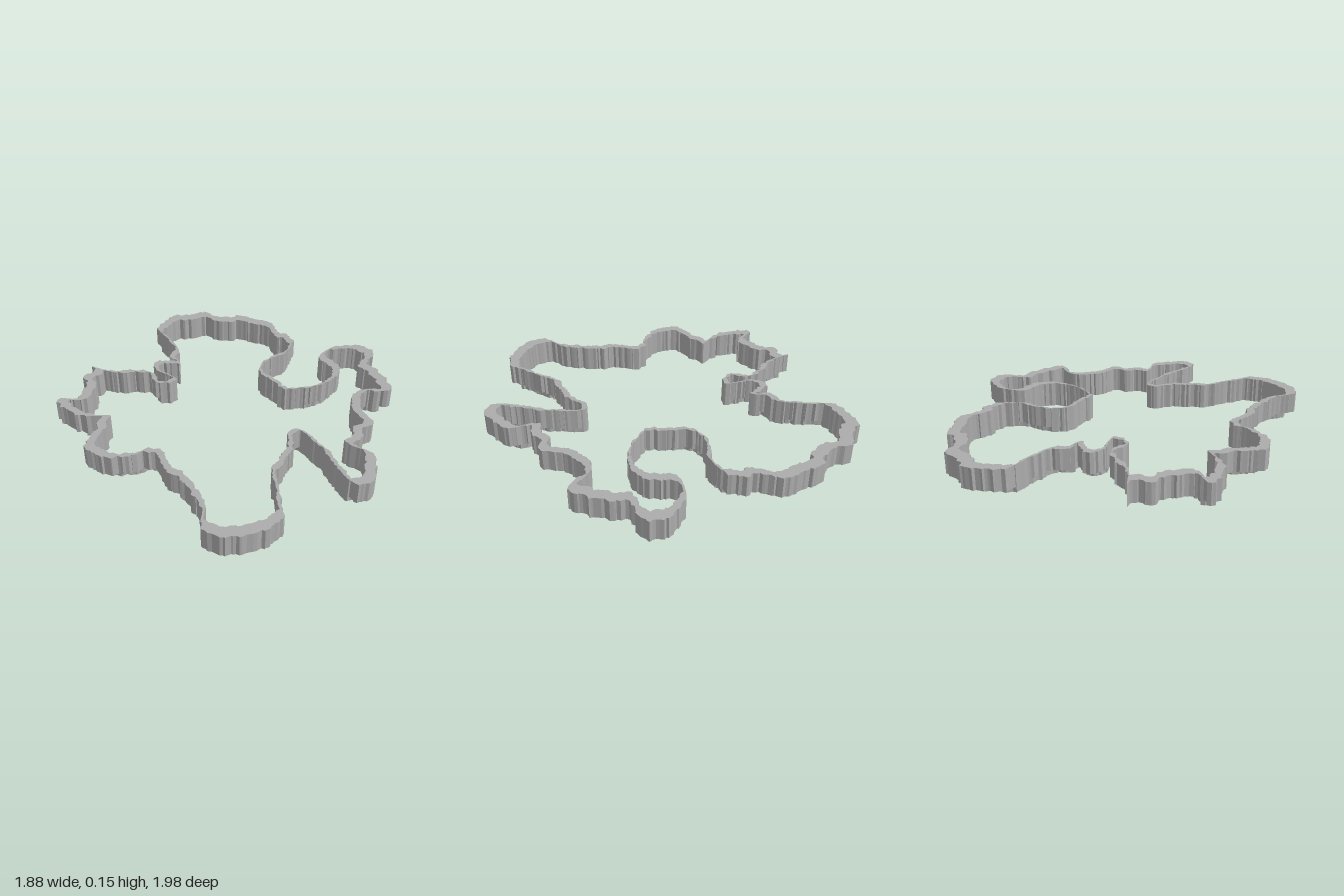
import * as THREE from 'three';

// Coastline control points as x, z pairs in hundredths of a unit
const COAST = [
  -80, -59, -78, -81, -72, -84, -63, -93, -55, -92, -41, -95, -38, -99, -28, -98,
  -15, -98, -6, -88, 3, -87, 8, -81, 8, -67, 1, -56, 3, -40, 15, -35,
  23, -29, 37, -36, 45, -47, 45, -64, 34, -72, 33, -81, 38, -89, 50, -94,
  59, -91, 60, -75, 70, -68, 80, -53, 69, -47, 66, -39, 71, -25, 80, -16,
  76, -9, 78, -2, 75, 6, 88, 11, 93, 28, 87, 36, 69, 21, 47, 7,
  43, 13, 48, 23, 47, 45, 53, 57, 62, 74, 59, 83, 48, 94, 36, 98,
  28, 94, 25, 86, 10, 73, -7, 65, -18, 57, -37, 71, -53, 68, -56, 54,
  -61, 42, -75, 46, -92, 38, -83, 33, -84, 21, -92, 9, -89, 2, -94, 0,
  -81, -2, -62, -10, -49, -3, -43, -10, -58, -16, -59, -24, -49, -28, -57, -33,
  -57, -41, -69, -52,
];
const SEGMENTS = 720;
const INNER = 0.935; // the inner outline is a scaled copy of the outer one
const TOP = 0.15;
const STEP = 0.03;

// Small repeatable noise in -1..1
function makeNoise(seed) {
  return () => {
    seed = (seed * 16807) % 2147483647;
    return (seed / 2147483647) * 2 - 1;
  };
}

// Closed, finely jagged coastline
function coastline() {
  const controls = [];
  for (let i = 0; i < COAST.length; i += 2) {
    controls.push(new THREE.Vector3(COAST[i] / 100, 0, COAST[i + 1] / 100));
  }
  const curve = new THREE.CatmullRomCurve3(controls, true, 'centripetal');
  curve.arcLengthDivisions = 2000;
  const noise = makeNoise(71);
  const wobble = new THREE.Vector2();
  const points = curve.getSpacedPoints(SEGMENTS).slice(0, SEGMENTS);
  return points.map((p) => {
    // Each offset partly follows the last, giving small bays as well as teeth
    wobble.multiplyScalar(0.45);
    wobble.x += noise() * 0.01;
    wobble.y += noise() * 0.01;
    return new THREE.Vector2(
      THREE.MathUtils.clamp(p.x + wobble.x, -0.94, 0.94),
      THREE.MathUtils.clamp(p.z + wobble.y, -1, 1),
    );
  });
}

// Strip of quads between two scaled, raised copies of the outline
function strip(name, outline, [scaleA, yA], [scaleB, yB], material) {
  const positions = [];
  const indices = [];
  const n = outline.length;
  outline.forEach((p, i) => {
    positions.push(p.x * scaleA, yA, p.y * scaleA, p.x * scaleB, yB, p.y * scaleB);
    const a = 2 * i;
    const b = 2 * ((i + 1) % n);
    indices.push(a, a + 1, b, b, a + 1, b + 1);
  });
  const geometry = new THREE.BufferGeometry();
  geometry.setAttribute('position', new THREE.Float32BufferAttribute(positions, 3));
  geometry.setIndex(indices);
  geometry.computeVertexNormals();
  const mesh = new THREE.Mesh(geometry, material);
  mesh.name = name;
  return mesh;
}

export function createModel() {
  const group = new THREE.Group();
  group.name = 'coastWall';
  const material = new THREE.MeshStandardMaterial({
    color: 0xacacac, flatShading: true, side: THREE.DoubleSide,
  });
  const outline = coastline();

  // Outer cliff, top rim, and inner wall reaching the ground
  group.add(
    strip('outerWall', outline, [1, TOP], [1, STEP], material),
    strip('topRim', outline, [INNER, TOP], [1, TOP], material),
    strip('innerWall', outline, [INNER, 0], [INNER, TOP], material),
  );
  return group;
}
